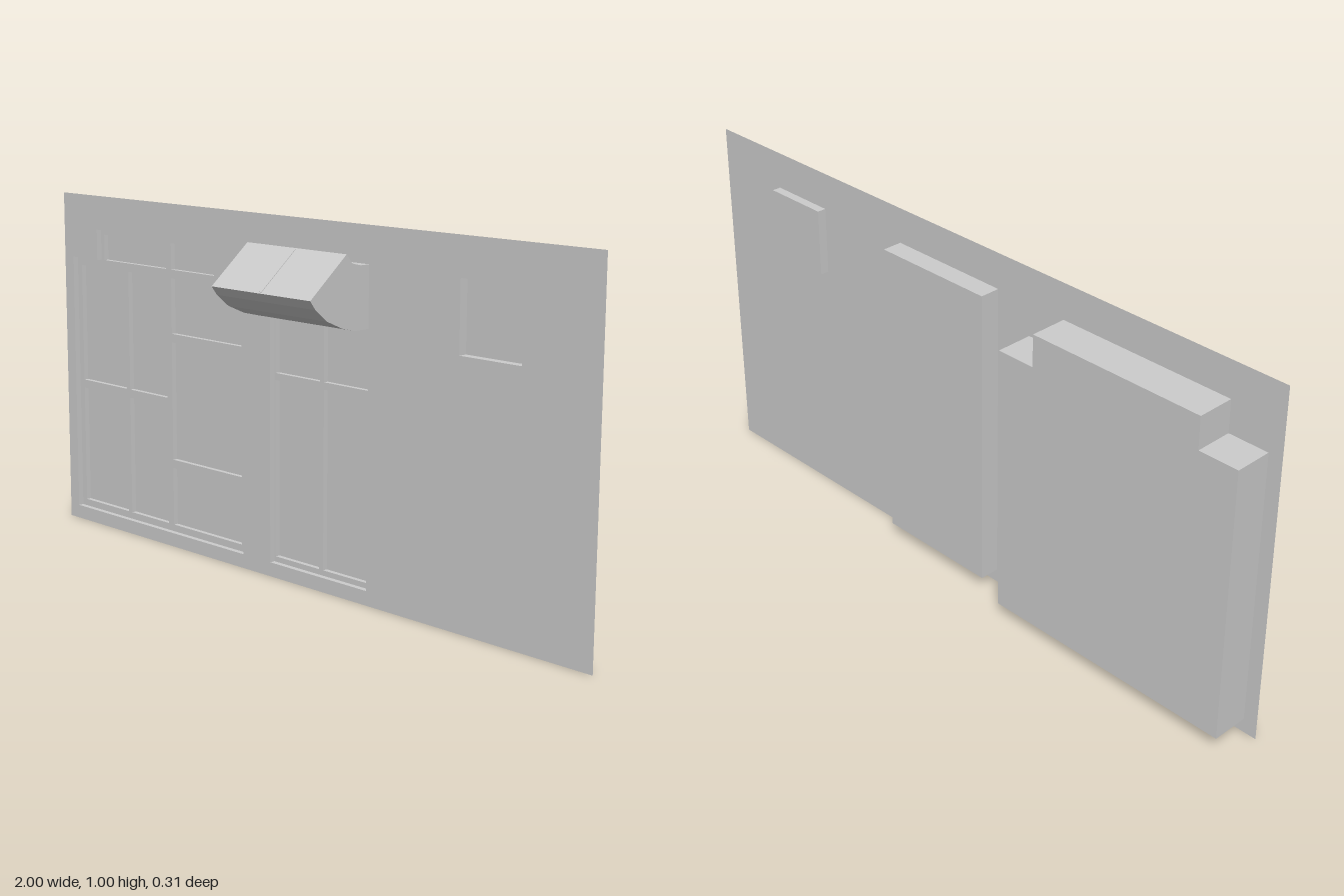
import * as THREE from 'three';

const WALL_Z = -0.05;
const grey = new THREE.MeshStandardMaterial({ color: 0xcccccc, flatShading: true, side: THREE.DoubleSide });

const points = (list) => list.map(([x, y]) => new THREE.Vector2(x, y));
const rect = (x0, x1, y0, y1) => [[x0, y0], [x1, y0], [x1, y1], [x0, y1]];

function mesh(name, geometry) {
  const m = new THREE.Mesh(geometry, grey);
  m.name = name;
  return m;
}

// Flat sheet in the xy plane at depth z, with openings cut out
function sheet(name, outline, z, holes = []) {
  const shape = new THREE.Shape(points(outline));
  holes.forEach((h) => shape.holes.push(new THREE.Path(points(h))));
  const m = mesh(name, new THREE.ShapeGeometry(shape));
  m.position.z = z;
  return m;
}

// Walls that follow an outline from depth z0 to depth z1
function reveal(name, outline, z0, z1) {
  const pos = [], index = [];
  outline.forEach(([ax, ay], i) => {
    const [bx, by] = outline[(i + 1) % outline.length];
    const n = i * 4;
    pos.push(ax, ay, z0, bx, by, z0, bx, by, z1, ax, ay, z1);
    index.push(n, n + 1, n + 2, n, n + 2, n + 3);
  });
  const g = new THREE.BufferGeometry();
  g.setAttribute('position', new THREE.Float32BufferAttribute(pos, 3));
  g.setIndex(index);
  g.computeVertexNormals();
  return mesh(name, g);
}

// Recessed frame with inset panes, closed behind by a box
function framedOpening(name, outline, panes, backZ) {
  const frameZ = WALL_Z - 0.016, paneZ = frameZ - 0.014;
  const group = new THREE.Group();
  group.name = name;
  group.add(
    reveal(name + 'Sides', outline, backZ, WALL_Z),
    sheet(name + 'Back', outline, backZ),
    sheet(name + 'Frame', outline, frameZ, panes)
  );
  panes.forEach((p) => {
    group.add(reveal(name + 'PaneEdge', p, paneZ, frameZ), sheet(name + 'Pane', p, paneZ));
  });
  return group;
}

export function createModel() {
  const model = new THREE.Group();
  model.name = 'shopFacade';

  const shopOutline = [[-0.96, 0.04], [-0.21, 0.04], [-0.21, 0.81], [-0.325, 0.81],
    [-0.325, 0.9], [-0.845, 0.9], [-0.845, 0.81], [-0.96, 0.81]];
  const doorOutline = rect(-0.1, 0.265, 0.04, 0.9);
  const hatchOutline = rect(0.57, 0.765, 0.705, 0.895);

  // Wall with three openings
  model.add(sheet('wall', rect(-1, 1, 0, 1), WALL_Z, [shopOutline, doorOutline, hatchOutline]));

  // Large shop window: two columns of tall panes, a three-pane column, a top strip
  const shopPanes = [];
  for (const [x0, x1] of [[-0.94, -0.735], [-0.72, -0.55]]) {
    shopPanes.push(rect(x0, x1, 0.06, 0.41), rect(x0, x1, 0.435, 0.785));
  }
  for (const [y0, y1] of [[0.06, 0.23], [0.255, 0.6], [0.625, 0.785]]) {
    shopPanes.push(rect(-0.527, -0.232, y0, y1));
  }
  shopPanes.push(rect(-0.83, -0.55, 0.81, 0.885), rect(-0.527, -0.34, 0.81, 0.885));
  model.add(framedOpening('shopWindow', shopOutline, shopPanes, -0.155));

  // Double door with upper lights
  const doorPanes = [];
  for (const [x0, x1] of [[-0.095, 0.075], [0.09, 0.26]]) {
    doorPanes.push(rect(x0, x1, 0.055, 0.55), rect(x0, x1, 0.57, 0.885));
  }
  model.add(framedOpening('door', doorOutline, doorPanes, -0.107));

  // Small plain recess
  model.add(
    reveal('smallWindowSides', hatchOutline, -0.075, WALL_Z),
    sheet('smallWindowPane', hatchOutline, -0.075)
  );

  // Awning: side profile (z, y) extruded along x
  const profile = [[-0.05, 0.735], [0, 0.735], [0.045, 0.746], [0.1, 0.77], [0.14, 0.803],
    [0.158, 0.827], [0.031, 0.932], [0.01, 0.907], [-0.02, 0.9], [-0.05, 0.9]];
  const hood = new THREE.ExtrudeGeometry(new THREE.Shape(points(profile)), { depth: 0.365, bevelEnabled: false });
  hood.rotateY(-Math.PI / 2);
  hood.translate(0.265, 0, 0);
  // After the turn the profile's first axis runs along +z
  model.add(mesh('awning', hood));

  // Thin rib down the middle of the sloping awning panel
  const rib = mesh('awningRib', new THREE.BoxGeometry(0.006, 0.003, 0.155));
  rib.position.set(0.083, 0.8795, 0.0945);
  rib.rotation.x = Math.atan2(0.105, 0.127);
  model.add(rib);

  return model;
}
